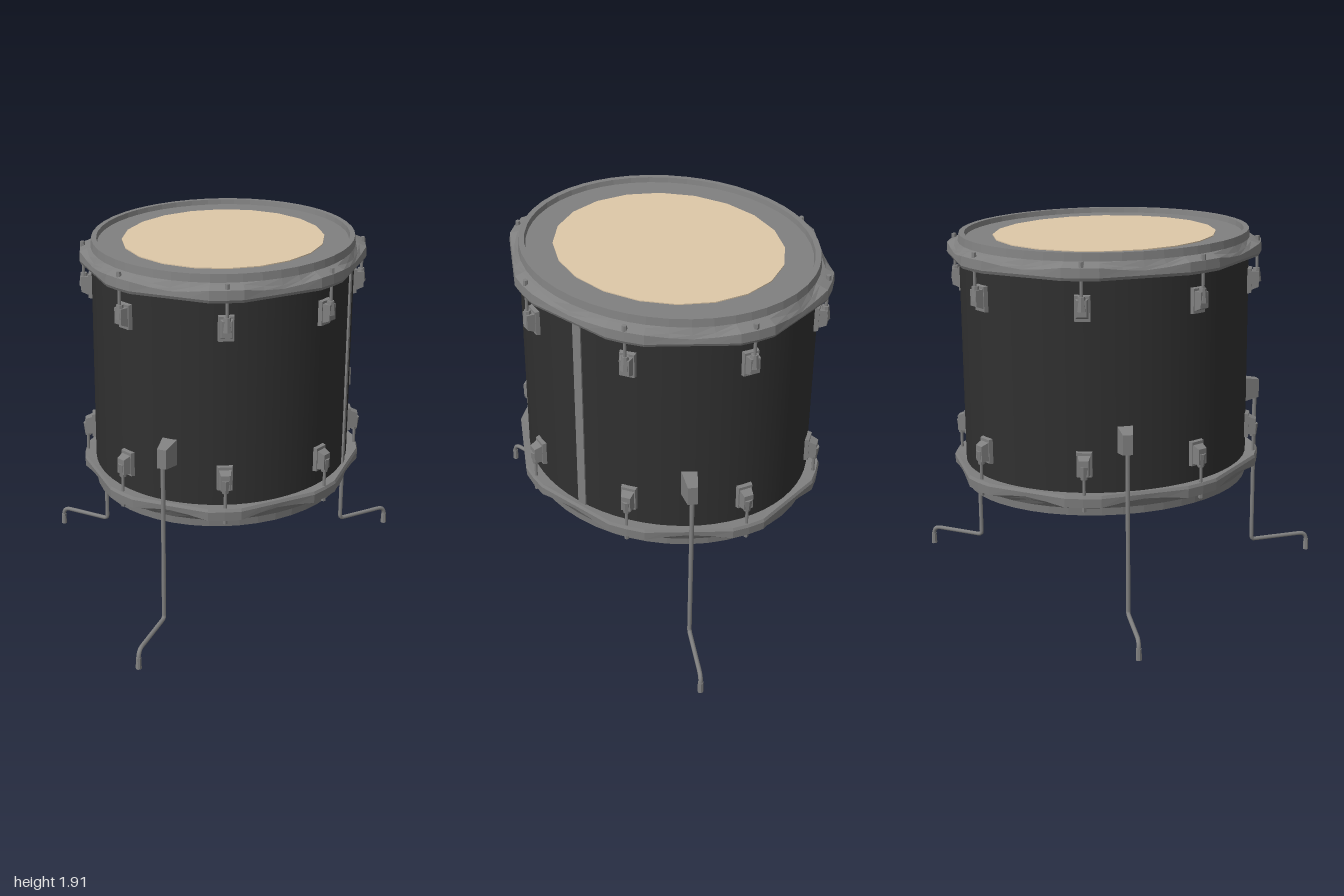
import * as THREE from 'three';

const CX = 0.11, CZ = -0.185, RX = 0.67, RZ = 0.75; // oval plan of the shell
const MID = 1.255;                                  // mirror height of the two ends
const LUGS = 8, LUG_START = 27.5, STEP = 45;
const rad = THREE.MathUtils.degToRad;

const paint = (color, extra = {}) => new THREE.MeshStandardMaterial({ color, ...extra });
const metal = paint(0x808080, { flatShading: true });
const smoothMetal = paint(0x808080);
const black = paint(0x303030, { side: THREE.DoubleSide });
const skin = paint(0xdec8a8);

function add(parent, name, geometry, material, x = 0, y = 0, z = 0) {
  const mesh = new THREE.Mesh(geometry, material);
  mesh.name = name;
  mesh.position.set(x, y, z);
  parent.add(mesh);
  return mesh;
}

const onOval = (angle, s, y) =>
  new THREE.Vector3(CX + RX * s * Math.cos(angle), y, CZ + RZ * s * Math.sin(angle));

// Upright oval cylinder around the drum axis
function oval(parent, name, s, y0, y1, sides, material, open = false) {
  const g = new THREE.CylinderGeometry(s, s, y1 - y0, sides, 1, open);
  g.scale(RX, 1, RZ);
  return add(parent, name, g, material, CX, (y0 + y1) / 2, CZ);
}

// Box whose front (+z) face is narrowed and shifted
function taperedBox(w, h, d, sx, sy, shift = 0) {
  const g = new THREE.BoxGeometry(w, h, d);
  const p = g.attributes.position;
  for (let i = 0; i < p.count; i++) {
    if (p.getZ(i) > 0) p.setXY(i, p.getX(i) * sx, p.getY(i) * sy + shift);
  }
  g.computeVertexNormals();
  return g;
}

// Hoop: a section swept round the oval, bulging into an ear at each lug
function hoopGeometry(upper) {
  const rings = [];
  for (let k = 0; k < LUGS; k++) {
    for (const off of [-6.5, 0, 6.5, 14.5, 22.5, 30.5]) {
      const angle = rad(LUG_START + k * STEP + off);
      const outer = Math.abs(off) <= 6.5
        ? 1.09 : 1.09 * Math.cos(rad(16)) / Math.cos(rad(off - 22.5));
      const wave = Math.abs(off) <= 6.5 ? 0.012 : off === 22.5 ? -0.012 : -0.004;
      const section = [
        [0.99, 1.79], [outer - 0.01, 1.785], [outer, 1.8], [outer - 0.005, 1.835 + wave],
        [1.03, 1.85 + wave], [1.005, 1.868], [0.998, 1.908], [0.96, 1.908], [0.95, 1.87],
      ].map(([s, y]) => onOval(angle, s, upper ? y : 2 * MID - y));
      rings.push(upper ? section : section.reverse());
    }
  }
  const n = rings[0].length, m = rings.length, index = [];
  for (let i = 0; i < m; i++) {
    for (let j = 0; j < n; j++) {
      const i2 = (i + 1) % m, j2 = (j + 1) % n;
      const a = i * n + j, b = i * n + j2, c = i2 * n + j, d = i2 * n + j2;
      index.push(a, b, c, b, d, c);
    }
  }
  const g = new THREE.BufferGeometry().setFromPoints(rings.flat());
  g.setIndex(index);
  g.computeVertexNormals();
  return g;
}

// Lug casing with its tension rod; local +z points out of the shell
function makeLug() {
  const lug = new THREE.Group();
  lug.name = 'lug';
  add(lug, 'lugPlate', taperedBox(0.08, 0.13, 0.022, 0.9, 0.95), metal, 0, 0, 0.008);
  add(lug, 'lugBody', taperedBox(0.064, 0.1, 0.045, 0.75, 0.8, 0.008), metal, 0, 0, 0.034);
  add(lug, 'rodSocket', new THREE.CylinderGeometry(0.017, 0.026, 0.07, 8), metal, 0, 0.03, 0.042);
  add(lug, 'tensionRod', new THREE.CylinderGeometry(0.008, 0.008, 0.2, 8), smoothMetal, 0, 0.125, 0.044);
  add(lug, 'rodHead', new THREE.CylinderGeometry(0.012, 0.014, 0.03, 6), metal, 0, 0.215, 0.044);
  return lug;
}

// Bent leg with a wedge bracket and a foot
function makeLeg(x, z, footX, footZ) {
  const leg = new THREE.Group();
  leg.name = 'leg';
  const dir = new THREE.Vector3(footX - x, 0, footZ - z).normalize();
  const at = (x0, z0, y, out) => new THREE.Vector3(x0, y, z0).addScaledVector(dir, out);
  const pts = [
    at(x, z, 1.02, 0), at(x, z, 0.12, 0), at(x, z, 0.1, 0), at(x, z, 0.1, 0.02),
    at(footX, footZ, 0.1, -0.045), at(footX, footZ, 0.1, 0), at(footX, footZ, 0.055, 0),
    at(footX, footZ, 0.01, 0),
  ];
  const path = new THREE.CurvePath();
  path.add(new THREE.LineCurve3(pts[0], pts[1]));
  path.add(new THREE.QuadraticBezierCurve3(pts[1], pts[2], pts[3]));
  path.add(new THREE.LineCurve3(pts[3], pts[4]));
  path.add(new THREE.QuadraticBezierCurve3(pts[4], pts[5], pts[6]));
  path.add(new THREE.LineCurve3(pts[6], pts[7]));
  add(leg, 'legRod', new THREE.TubeGeometry(path, 100, 0.0115, 8), smoothMetal);
  add(leg, 'foot', new THREE.CylinderGeometry(0.014, 0.016, 0.06, 8), metal, footX, 0.03, footZ);

  // Bracket runs from the shell to the rod
  const angle = Math.atan2((z - CZ) / RZ, (x - CX) / RX);
  const base = onOval(angle, 0.98, 0.99);
  const out = new THREE.Vector3(x - base.x, 0, z - base.z);
  const length = out.length() + 0.015;
  out.normalize();
  const bracket = add(leg, 'legBracket', taperedBox(0.08, 0.14, length, 0.6, 0.72), metal);
  bracket.position.copy(base).addScaledVector(out, length / 2);
  bracket.rotation.y = Math.atan2(out.x, out.z);
  return leg;
}

export function createModel() {
  const drum = new THREE.Group();
  drum.name = 'floorDrum';

  // Shell and skins
  oval(drum, 'shell', 1, 0.64, 1.86, 64, black, true);
  oval(drum, 'topHead', 0.97, 1.868, 1.882, 48, smoothMetal);
  oval(drum, 'headCentre', 0.77, 1.878, 1.887, 20, skin);
  oval(drum, 'bottomHead', 0.97, 0.625, 0.64, 48, skin);

  // Seam strip on the left side of the shell
  add(drum, 'seamStrip', new THREE.BoxGeometry(0.014, 1.1, 0.045), metal, CX + RX, MID, -0.145);

  // Hoops
  add(drum, 'topHoop', hoopGeometry(true), metal);
  add(drum, 'bottomHoop', hoopGeometry(false), metal);

  // Lugs at both ends
  for (let k = 0; k < LUGS; k++) {
    const angle = rad(LUG_START + k * STEP);
    for (const upper of [true, false]) {
      const lug = makeLug();
      lug.position.copy(onOval(angle, 1, upper ? 1.645 : 2 * MID - 1.64));
      lug.rotation.y = Math.atan2(Math.cos(angle) / RX, Math.sin(angle) / RZ);
      if (!upper) lug.rotation.z = Math.PI;
      drum.add(lug);
    }
  }

  // Three legs
  drum.add(makeLeg(0.03, 0.65, 0, 0.984));
  drum.add(makeLeg(-0.62, -0.36, -0.915, -0.425));
  drum.add(makeLeg(0.685, -0.73, 0.91, -0.95));
  return drum;
}
